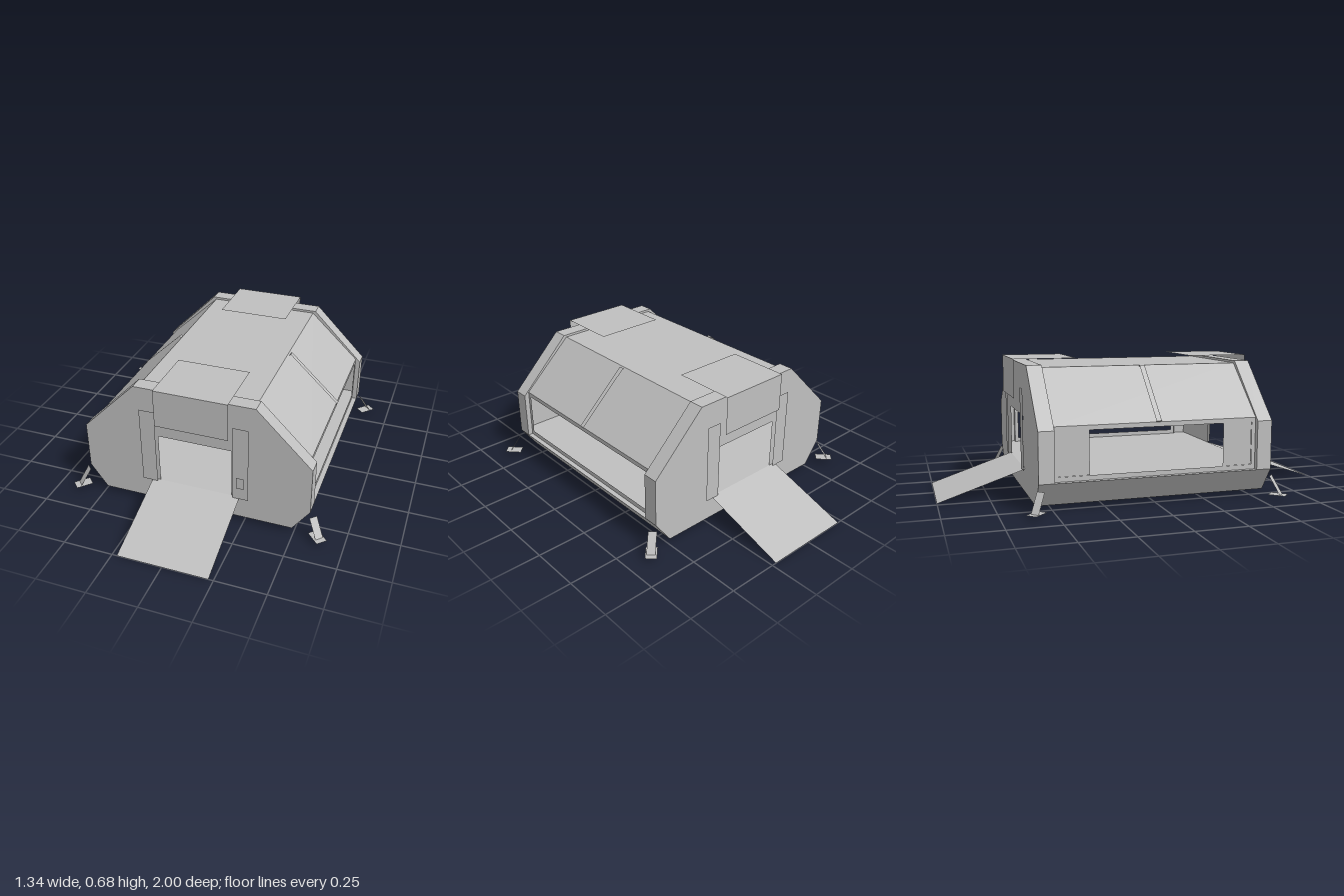
import * as THREE from 'three';

const grey = new THREE.MeshStandardMaterial({ color: 0xbfbfbf, side: THREE.DoubleSide });
grey.name = 'shell grey';

function add(parent, name, geometry) {
  const mesh = new THREE.Mesh(geometry, grey);
  mesh.name = name;
  parent.add(mesh);
  return mesh;
}

const vectors = (points) => points.map(([x, y]) => new THREE.Vector2(x, y));

// Half profile mirrored to the other side
function mirrored(points) {
  return [...points, ...points.map(([x, y]) => [-x, y]).reverse()];
}

const rectangle = (x0, x1, y0, y1) => [[x0, y0], [x1, y0], [x1, y1], [x0, y1]];

// Flat upright panel facing z, with an optional opening
function panel(points, z, hole) {
  const shape = new THREE.Shape(vectors(points));
  if (hole) shape.holes.push(new THREE.Path(vectors(hole)));
  return new THREE.ShapeGeometry(shape).translate(0, 0, z);
}

// Flat-faced geometry from a list of four-cornered sheets
function sheets(...quads) {
  const g = new THREE.BufferGeometry();
  const corners = quads.flatMap(([a, b, c, d]) => [a, b, c, a, c, d]).flat();
  g.setAttribute('position', new THREE.Float32BufferAttribute(corners, 3));
  g.computeVertexNormals();
  return g;
}

// Open profile, listed counter-clockwise, drawn out along z
function ribbon(points, z0, z1) {
  return sheets(...points.slice(1).map(([x, y], i) => {
    const [px, py] = points[i];
    return [[px, py, z1], [px, py, z0], [x, y, z0], [x, y, z1]];
  }));
}

function makeEnd(isFront) {
  const end = new THREE.Group();
  end.name = isFront ? 'frontEnd' : 'backEnd';

  // Wall with doorway
  const wall = mirrored([[0.49, 0.022], [0.575, 0.141], [0.575, 0.381], [0.302, 0.654]]);
  add(end, 'endWall', panel(wall, 0.575, rectangle(-0.185, 0.185, 0.141, 0.4)));

  // Rim standing proud of the roof and sides, with its return face
  const outer = [[0.575, 0.141], [0.575, 0.381], [0.302, 0.654]];
  const inner = [[0.545, 0.141], [0.545, 0.371], [0.288, 0.627]];
  add(end, 'endRim', ribbon(mirrored(outer), 0.5, 0.575));
  add(end, 'rimReturn', panel([...mirrored(outer), ...mirrored(inner).reverse()], 0.5));

  // Door side panels, set off the wall
  for (const x of [-0.234, 0.234]) {
    add(end, 'doorSidePanel', panel(rectangle(x - 0.039, x + 0.039, 0.141, 0.541), 0.59));
  }
  if (isFront) add(end, 'doorControl', panel(rectangle(0.215, 0.254, 0.208, 0.269), 0.598));

  // Open-sided hood over the door
  const h = 0.183;
  add(end, 'hood', sheets(
    [[-h, 0.676, 0.615], [h, 0.676, 0.615], [h, 0.676, 0.305], [-h, 0.676, 0.305]],
    [[-h, 0.484, 0.615], [h, 0.484, 0.615], [h, 0.676, 0.615], [-h, 0.676, 0.615]]));

  // Entry ramp
  const w = 0.226;
  add(end, 'ramp', sheets([[-w, 0, 1], [w, 0, 1], [w, 0.141, 0.575], [-w, 0.141, 0.575]]));

  // Corner struts with flat foot pads
  for (const s of [-1, 1]) {
    const t = 0.0145;
    add(end, 'strut', sheets([
      [s * (0.589 - t), 0.112, 0.568 + t], [s * (0.632 - t), 0.022, 0.605 + t],
      [s * (0.632 + t), 0.022, 0.605 - t], [s * (0.589 + t), 0.112, 0.568 - t]]));
    add(end, 'footPad', sheets([
      [s * 0.572, 0.022, 0.584], [s * 0.63, 0.022, 0.645],
      [s * 0.669, 0.022, 0.606], [s * 0.611, 0.022, 0.545]]));
  }
  if (!isFront) end.rotation.y = Math.PI;
  return end;
}

function makeSide(s) {
  const side = new THREE.Group();
  side.name = s > 0 ? 'leftSide' : 'rightSide';

  // Sloping skirt below the floor
  add(side, 'skirt', ribbon([[s * 0.49, 0.022], [s * 0.575, 0.141]], -0.575, 0.575));

  // Upright window frame
  const frame = panel(rectangle(-0.5, 0.5, 0.141, 0.396), s * 0.55, rectangle(-0.48, 0.48, 0.164, 0.374));
  add(side, 'windowFrame', frame.rotateY(Math.PI / 2));

  // Rib over the middle of the sloping roof
  const rib = [[0.55, 0.396], [0.558, 0.402], [0.303, 0.643], [0.295, 0.635]];
  add(side, 'roofRib', ribbon(rib.map(([x, y]) => [s * x, y]), -0.013, 0.013));

  // Panels closing the window ends on one side
  if (s < 0) {
    for (const z of [-0.406, 0.406]) {
      const cover = panel(rectangle(z - 0.074, z + 0.074, 0.164, 0.374), -0.546);
      add(side, 'windowEndPanel', cover.rotateY(Math.PI / 2));
    }
  }
  return side;
}

export function createModel() {
  const model = new THREE.Group();
  model.name = 'shelter';

  // Floor, open beneath between the skirts
  add(model, 'floor', ribbon([[0.575, 0.141], [-0.575, 0.141]], -0.575, 0.575));

  // Roof shell
  add(model, 'roof', ribbon(mirrored([[0.55, 0.396], [0.288, 0.642]]), -0.5, 0.5));

  model.add(makeEnd(true), makeEnd(false), makeSide(1), makeSide(-1));
  return model;
}
